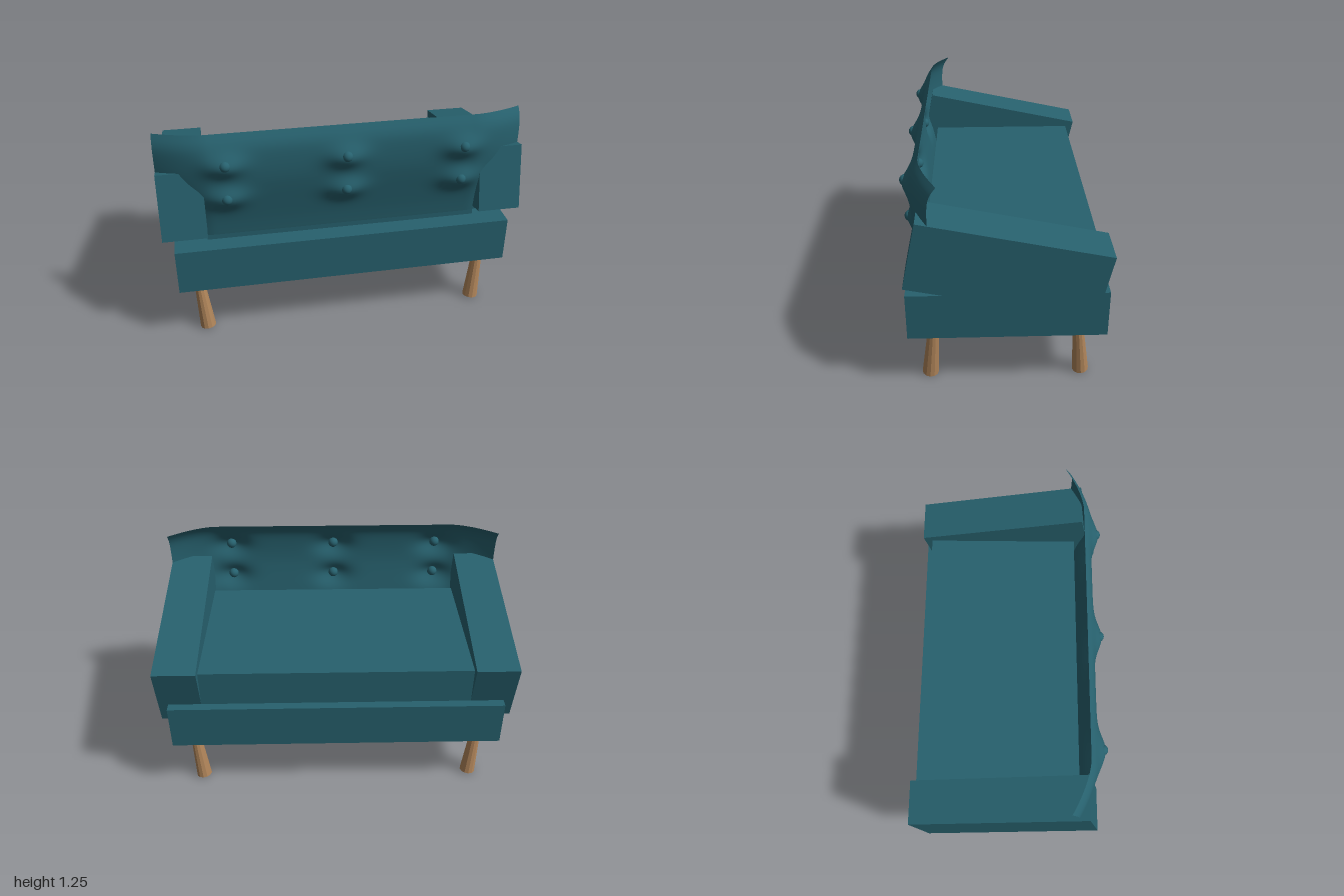
import * as THREE from 'three';

export function createModel() {
  const sofa = new THREE.Group();
  sofa.name = 'sofa';

  const fabric = new THREE.MeshStandardMaterial({ color: 0x27616e });
  fabric.name = 'teal fabric';
  fabric.side = THREE.DoubleSide;
  const wood = new THREE.MeshStandardMaterial({ color: 0xb0855a, flatShading: true });
  wood.name = 'oak wood';

  const add = (name, geometry, material, x = 0, y = 0, z = 0) => {
    const mesh = new THREE.Mesh(geometry, material);
    mesh.name = name;
    mesh.position.set(x, y, z);
    sofa.add(mesh);
    return mesh;
  };

  // Base and seat cushion
  add('base', new THREE.BoxGeometry(1.89, 0.265, 1.04), fabric, 0, 0.4725, -0.005);
  add('seatCushion', new THREE.BoxGeometry(1.53, 0.21, 0.885), fabric, 0, 0.71, -0.0325);

  // Tilted arm blocks
  for (const side of [-1, 1]) {
    const arm = add(side > 0 ? 'leftArm' : 'rightArm',
      new THREE.BoxGeometry(0.24, 0.373, 0.987), fabric, side * 0.88, 0.766, -0.005);
    arm.rotation.x = -THREE.MathUtils.degToRad(12);
  }

  // Thin curved backrest: a profile swept across, with tufts and wrapped ends
  const profile = new THREE.SplineCurve([
    [0.42, 0.64], [0.43, 0.72], [0.447, 0.82], [0.465, 0.92], [0.476, 1.0],
    [0.479, 1.08], [0.474, 1.16], [0.459, 1.21], [0.43, 1.255],
  ].map(([z, y]) => new THREE.Vector2(z, y)));
  const tuftColumns = [-0.64, 0, 0.64];
  const tuftRows = [1.095, 0.89];
  const tuftDepth = (x, y) => {
    let depth = 0;
    for (const cx of tuftColumns) for (const cy of tuftRows) {
      depth += 0.045 * Math.exp(-(((x - cx) / 0.1) ** 2) - ((y - cy) / 0.065) ** 2);
    }
    return depth;
  };
  const backSurface = (x, v) => {
    const p = profile.getPoint(v);
    const t = Math.max(0, (Math.abs(x) - 0.72) / 0.28);
    const wrap = t ** 1.6;
    const y = p.y + wrap * (0.012 - 0.027 * v);
    return new THREE.Vector3(x, y, p.x - 0.1 * wrap + tuftDepth(x, p.y));
  };
  const back = new THREE.PlaneGeometry(2, 1, 100, 48);
  const pos = back.attributes.position;
  for (let i = 0; i < pos.count; i++) {
    const p = backSurface(pos.getX(i), pos.getY(i) + 0.5);
    pos.setXYZ(i, p.x, p.y, p.z);
  }
  back.computeVertexNormals();
  add('backrest', back, fabric);

  // Tuft buttons on the seat side of the backrest
  const button = new THREE.SphereGeometry(0.03, 16, 12);
  for (const x of tuftColumns) {
    add('upperButton', button, fabric, x, 1.105, 0.505);
    add('lowerButton', button, fabric, x, 0.9, 0.49);
  }

  // Splayed legs, wider at the foot
  const up = new THREE.Vector3(0, 1, 0);
  for (const sx of [-1, 1]) for (const sz of [-1, 1]) {
    const foot = new THREE.Vector3(sx * 0.81, 0.007, sz * 0.415);
    const top = new THREE.Vector3(sx * 0.84, 0.345, sz * 0.384);
    const axis = top.clone().sub(foot);
    const mid = foot.clone().add(top).multiplyScalar(0.5);
    const leg = add(sz > 0 ? 'backLeg' : 'frontLeg',
      new THREE.CylinderGeometry(0.027, 0.045, axis.length(), 12), wood, mid.x, mid.y, mid.z);
    leg.quaternion.setFromUnitVectors(up, axis.normalize());
  }

  return sofa;
}
